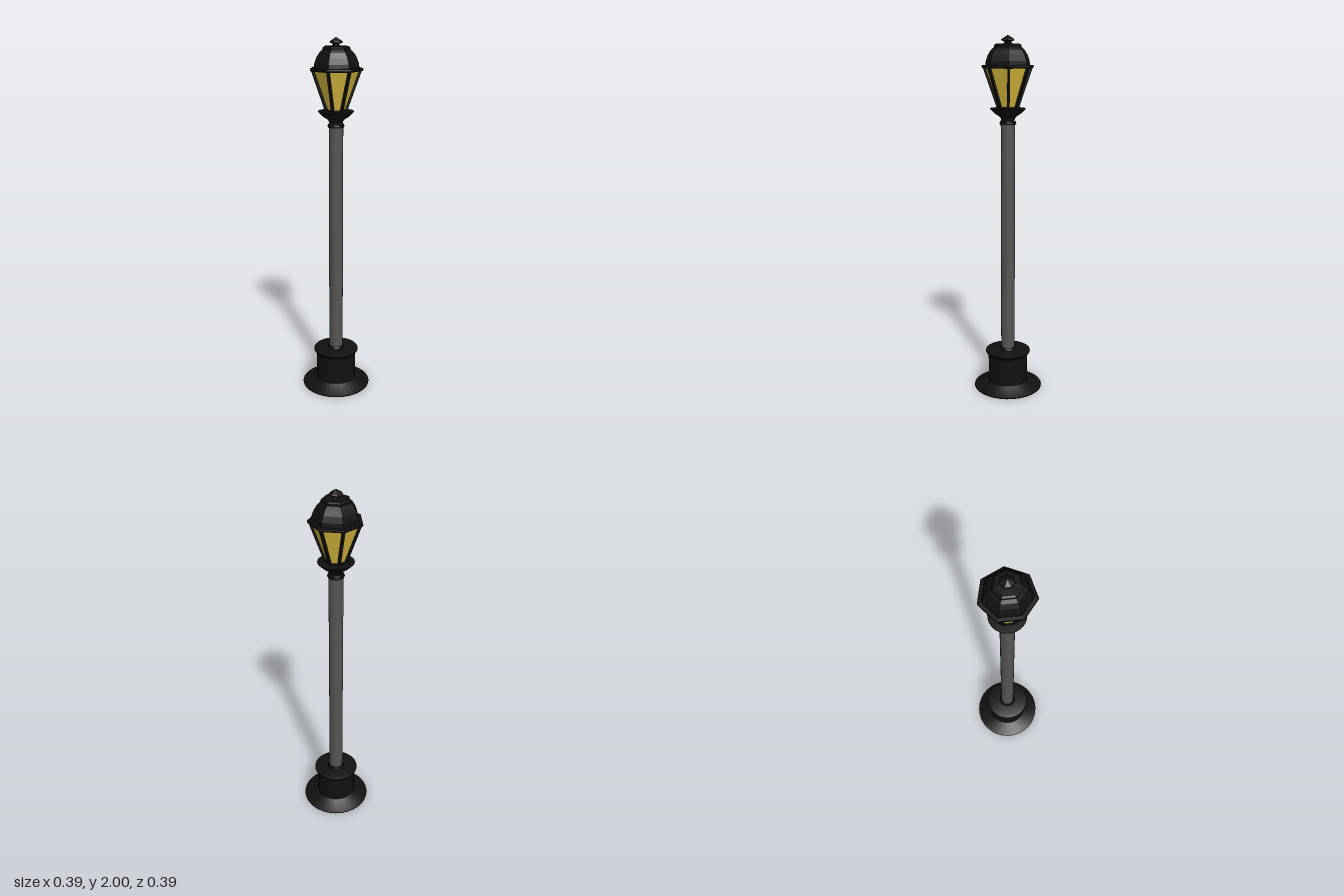
import * as THREE from 'three';
import { toCreasedNormals } from 'three/addons/utils/BufferGeometryUtils.js';

const SIDES = 7; // lantern panes, one corner pointing to the back

const iron = new THREE.MeshStandardMaterial({ color: 0x111111 });
const facetedIron = new THREE.MeshStandardMaterial({ color: 0x111111, flatShading: true });
const steel = new THREE.MeshStandardMaterial({ color: 0x555555 });
const glass = new THREE.MeshStandardMaterial({ color: 0xe0c040, flatShading: true });

// Turned part from [radius, height] pairs listed bottom to top
function turned(name, profile, material, sides = 32) {
  const points = profile.map(([r, y]) => new THREE.Vector2(r, y));
  let geometry = new THREE.LatheGeometry(points, sides, Math.PI);
  if (!material.flatShading) geometry = toCreasedNormals(geometry, 0.5);
  const mesh = new THREE.Mesh(geometry, material);
  mesh.name = name;
  return mesh;
}

// Point on a lantern corner
function corner(i, radius, y) {
  const a = Math.PI + (i / SIDES) * Math.PI * 2;
  return new THREE.Vector3(Math.sin(a) * radius, y, Math.cos(a) * radius);
}

// Square bar following one corner of the lantern
function bar(i) {
  const low = corner(i, 0.05, 1.61);
  const high = corner(i, 0.13, 1.835);
  const holder = new THREE.Group();
  holder.name = 'lanternBar';
  const mesh = new THREE.Mesh(new THREE.BoxGeometry(0.014, 0.014, low.distanceTo(high)), iron);
  holder.add(mesh);
  holder.position.copy(low).lerp(high, 0.5);
  holder.lookAt(high);
  return holder;
}

export function createModel() {
  const model = new THREE.Group();
  model.name = 'streetLamp';

  // Flared foot, drum and moulded cap
  model.add(turned('base', [
    [0, 0], [0.195, 0], [0.195, 0.004], [0.118, 0.036], [0.113, 0.04], [0.113, 0.2],
    [0.12, 0.203], [0.128, 0.212], [0.128, 0.219], [0.11, 0.225], [0.048, 0.229],
    [0.043, 0.24], [0, 0.24],
  ], iron));

  model.add(turned('pole', [[0.039, 0.22], [0.039, 1.55]], steel));

  // Ringed neck opening into the dish under the lantern
  model.add(turned('collar', [
    [0, 1.53], [0.043, 1.53], [0.046, 1.536], [0.043, 1.545], [0.036, 1.55], [0.038, 1.562],
    [0.045, 1.572], [0.07, 1.588], [0.078, 1.596], [0.096, 1.613], [0.096, 1.617],
    [0.06, 1.62], [0, 1.62],
  ], iron));

  // Lantern: tapered panes held by corner bars
  const lantern = new THREE.Group();
  lantern.name = 'lantern';
  lantern.add(turned('glass', [[0, 1.615], [0.049, 1.615], [0.127, 1.835], [0, 1.835]], glass, SIDES));
  lantern.add(turned('lowerFrame', [
    [0, 1.61], [0.06, 1.61], [0.06, 1.627], [0, 1.627],
  ], facetedIron, SIDES));
  for (let i = 0; i < SIDES; i++) lantern.add(bar(i));
  model.add(lantern);

  // Faceted roof with projecting rim
  model.add(turned('roof', [
    [0, 1.828], [0.14, 1.828], [0.144, 1.836], [0.142, 1.843], [0.123, 1.845], [0.12, 1.867],
    [0.109, 1.897], [0.092, 1.923], [0.075, 1.937], [0.075, 1.947], [0.065, 1.954], [0, 1.958],
  ], facetedIron, SIDES));

  model.add(turned('finial', [
    [0.028, 1.95], [0.019, 1.96], [0.019, 1.965], [0.037, 1.973], [0.033, 1.979], [0, 2],
  ], facetedIron, SIDES));

  return model;
}
